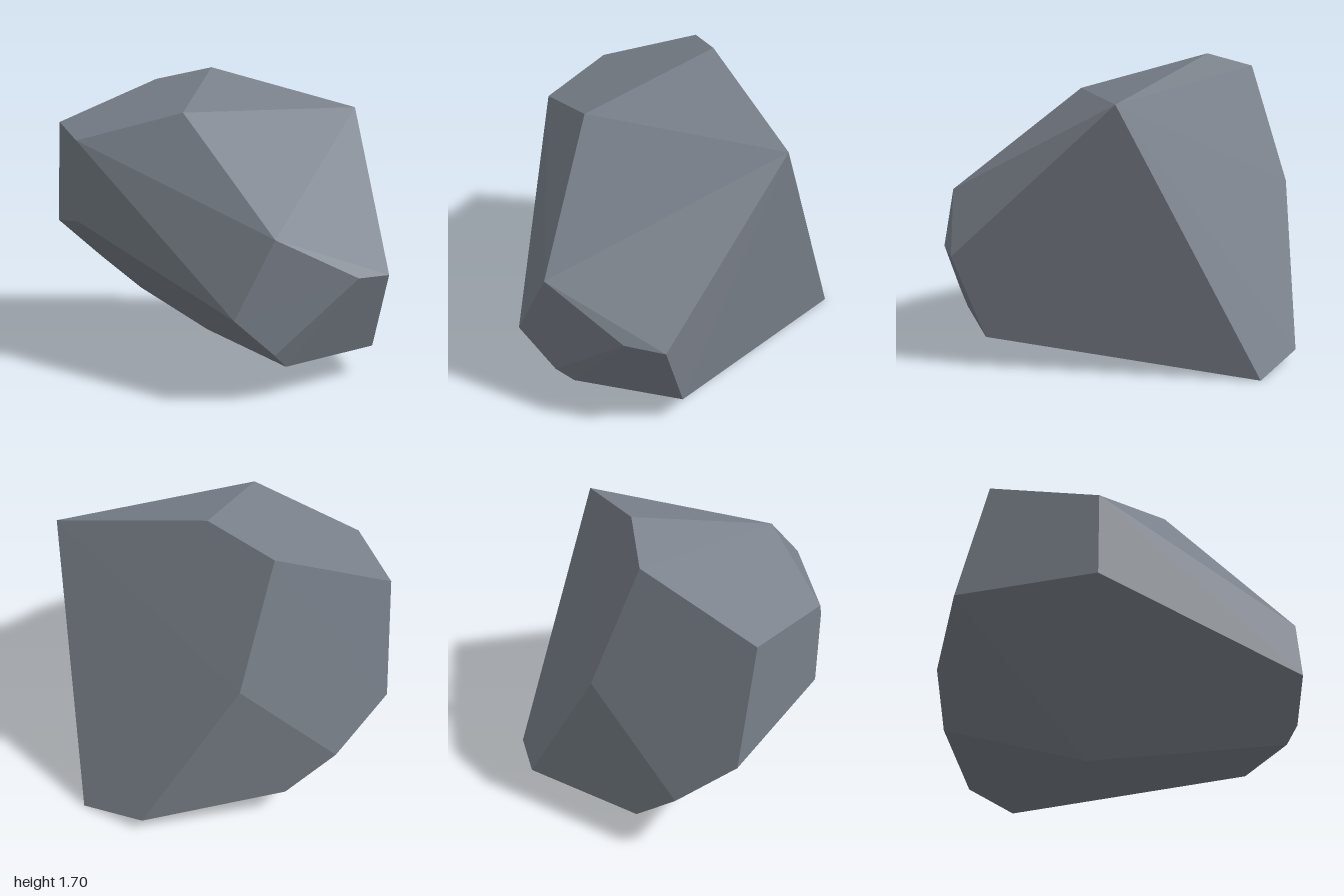
import * as THREE from 'three';
import { ConvexGeometry } from 'three/addons/geometries/ConvexGeometry.js';

export function createModel() {
  const group = new THREE.Group();
  group.name = 'rock';
  const stone = new THREE.MeshStandardMaterial({ color: 0x7a818b });
  stone.name = 'slate grey';

  // Corners of the faceted boulder, from the peak down to the base
  const corners = [
    // crown
    [0.09, 1.695, -0.515], [-0.2, 1.613, -0.805], [-0.31, 1.47, 0.235],
    [0.853, 1.46, 0], [-0.853, 1.355, -0.72], [-0.853, 1.297, -0.12],
    // front facets
    [-0.045, 0.876, 1], [0.44, 0.634, 0.97], [0.655, 0.62, 0.895],
    [-0.26, 0.467, 0.99], [-0.03, 0.256, 0.97], [0.055, 0.17, 0.913], [0.655, 0.17, 0.715],
    // right flank and back
    [-0.853, 0.82, -0.12], [-0.853, 0.7, -0.87], [-0.55, 0.41, -1], [0, 0.94, -1],
    // base
    [0.853, 0, -0.77], [0.54, 0.07, -1], [-0.275, 0.165, -1], [-0.03, 0.06, -0.23],
  ];

  const boulder = new THREE.Mesh(
    new ConvexGeometry(corners.map((c) => new THREE.Vector3(...c))), stone);
  boulder.name = 'boulder';
  group.add(boulder);
  return group;
}
